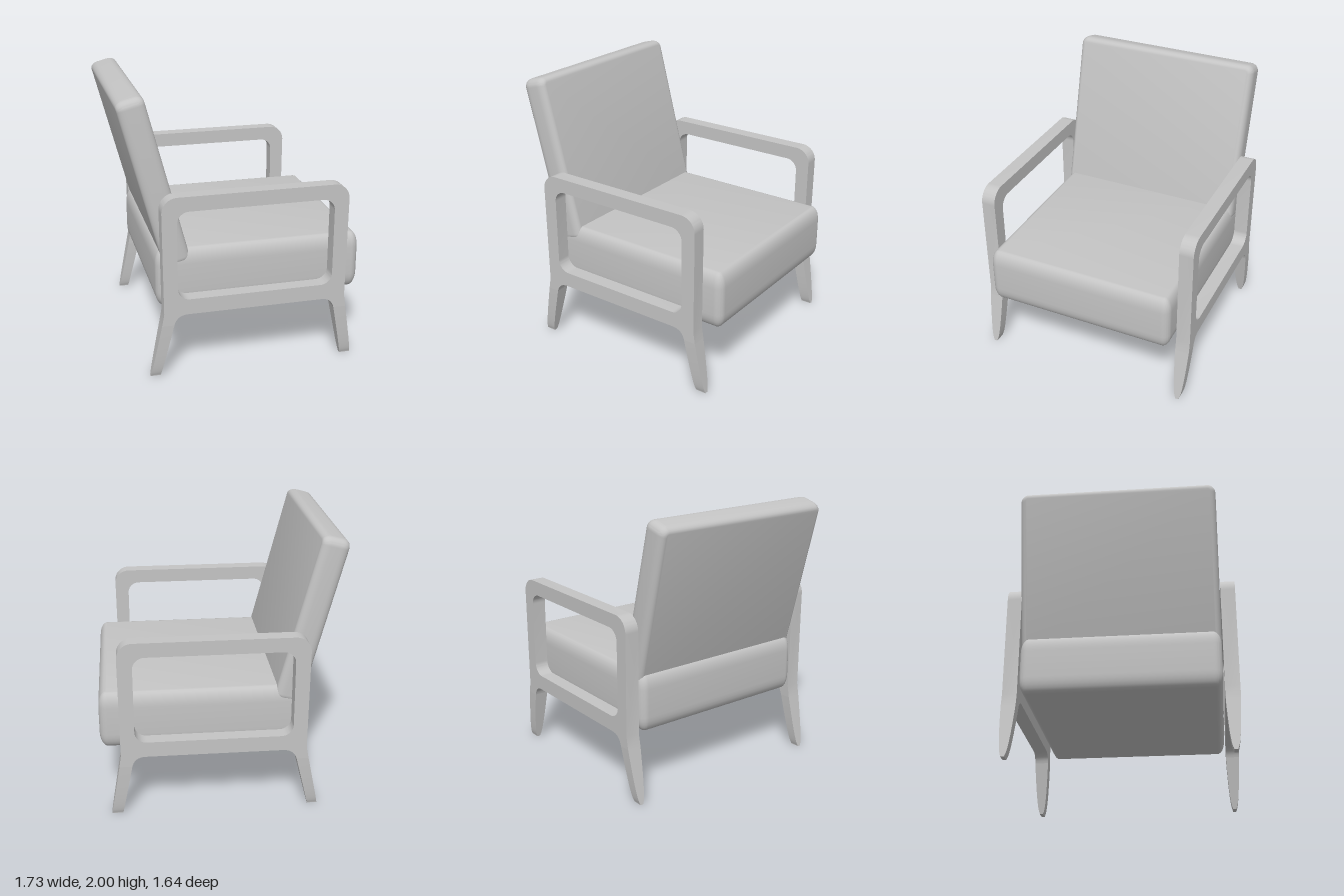
import * as THREE from 'three';
import { toCreasedNormals } from 'three/addons/utils/BufferGeometryUtils.js';

const upholstery = new THREE.MeshStandardMaterial({ color: 0xc4c4c4 });
upholstery.name = 'light grey';

// Rounded rectangle, drawn onto a Shape or a hole Path
function roundedRect(path, x0, y0, x1, y1, r) {
  path.moveTo(x0 + r, y0);
  path.lineTo(x1 - r, y0);
  path.absarc(x1 - r, y0 + r, r, -Math.PI / 2, 0);
  path.lineTo(x1, y1 - r);
  path.absarc(x1 - r, y1 - r, r, 0, Math.PI / 2);
  path.lineTo(x0 + r, y1);
  path.absarc(x0 + r, y1 - r, r, Math.PI / 2, Math.PI);
  path.lineTo(x0, y0 + r);
  path.absarc(x0 + r, y0 + r, r, Math.PI, Math.PI * 1.5);
  return path;
}

// Padded slab: rounded outline with an elliptical edge on both faces
function cushionGeometry(w, h, thickness, edgeIn, edgeDeep) {
  const shape = roundedRect(new THREE.Shape(), -w / 2, -h / 2, w / 2, h / 2, 0.06);
  const geo = new THREE.ExtrudeGeometry(shape, {
    depth: thickness - 2 * edgeDeep, bevelEnabled: true, bevelSize: edgeIn, bevelOffset: -edgeIn,
    bevelThickness: edgeDeep, bevelSegments: 6, curveSegments: 6,
  });
  geo.translate(0, 0, -thickness / 2 + edgeDeep);
  return toCreasedNormals(geo, 0.6);
}

const LEG_TOP = 0.4;
const HALF = 0.052;

// Closed arm loop, including the fillets where the legs begin
function armGeometry() {
  const s = new THREE.Shape();
  s.moveTo(-0.617, LEG_TOP);
  s.lineTo(-0.53, LEG_TOP);
  s.quadraticCurveTo(-0.51, 0.475, -0.43, 0.475);
  s.lineTo(0.545, 0.475);
  s.quadraticCurveTo(0.625, 0.475, 0.642, LEG_TOP);
  s.lineTo(0.733, LEG_TOP);
  s.lineTo(0.72, 0.49);
  s.lineTo(0.725, 1.23);
  s.absarc(0.615, 1.23, 0.11, 0, Math.PI / 2);
  s.lineTo(-0.495, 1.34);
  s.absarc(-0.495, 1.23, 0.11, Math.PI / 2, Math.PI);
  s.lineTo(-0.6, 0.49);
  s.closePath();
  s.holes.push(roundedRect(new THREE.Path(), -0.5, 0.588, 0.62, 1.235, 0.085));
  const geo = new THREE.ExtrudeGeometry(s, { depth: HALF * 2, bevelEnabled: false, curveSegments: 8 });
  geo.translate(0, 0, -HALF);
  return toCreasedNormals(geo, 0.6);
}

// Splayed leg narrowing to a rounded toe; top and foot are [x0, x1] spans
function legGeometry(top, foot) {
  const geo = new THREE.BoxGeometry(1, 1, 2, 1, 14, 1);
  const p = geo.attributes.position;
  for (let i = 0; i < p.count; i++) {
    const t = (p.getY(i) + 0.5) ** 2;
    const side = p.getX(i) > 0 ? 1 : 0;
    const half = Math.max(0.013, HALF * Math.pow(t, 0.33));
    p.setXYZ(i, THREE.MathUtils.lerp(foot[side], top[side], t), t * LEG_TOP, p.getZ(i) * half);
  }
  geo.computeVertexNormals();
  return geo;
}

export function createModel() {
  const group = new THREE.Group();
  group.name = 'armchair';
  const add = (parent, name, geo) => {
    const mesh = new THREE.Mesh(geo, upholstery);
    mesh.name = name;
    parent.add(mesh);
    return mesh;
  };

  // Seat cushion, lying flat
  const seat = cushionGeometry(1.495, 1.42, 0.425, 0.055, 0.11);
  seat.rotateX(-Math.PI / 2);
  add(group, 'seatCushion', seat).position.set(0.117, 0.7025, 0);

  // Back cushion, leaning away from the seat
  const tilt = 0.253, bottom = -0.1, top = 1.138, mid = (bottom + top) / 2;
  const back = cushionGeometry(1.425, top - bottom, 0.195, 0.04, 0.06);
  back.rotateY(Math.PI / 2);
  const backMesh = add(group, 'backCushion', back);
  backMesh.rotation.z = tilt;
  backMesh.position.set(-0.494 - Math.sin(tilt) * mid, 0.886 + Math.cos(tilt) * mid, 0);

  // Matching side frames
  const arm = armGeometry();
  const rearLeg = legGeometry([-0.617, -0.53], [-0.7, -0.628]);
  const frontLeg = legGeometry([0.642, 0.733], [0.72, 0.8]);
  for (const side of [1, -1]) {
    const frame = new THREE.Group();
    frame.name = side > 0 ? 'leftFrame' : 'rightFrame';
    frame.position.z = side * 0.769;
    add(frame, 'armLoop', arm);
    add(frame, 'rearLeg', rearLeg);
    add(frame, 'frontLeg', frontLeg);
    group.add(frame);
  }
  return group;
}
